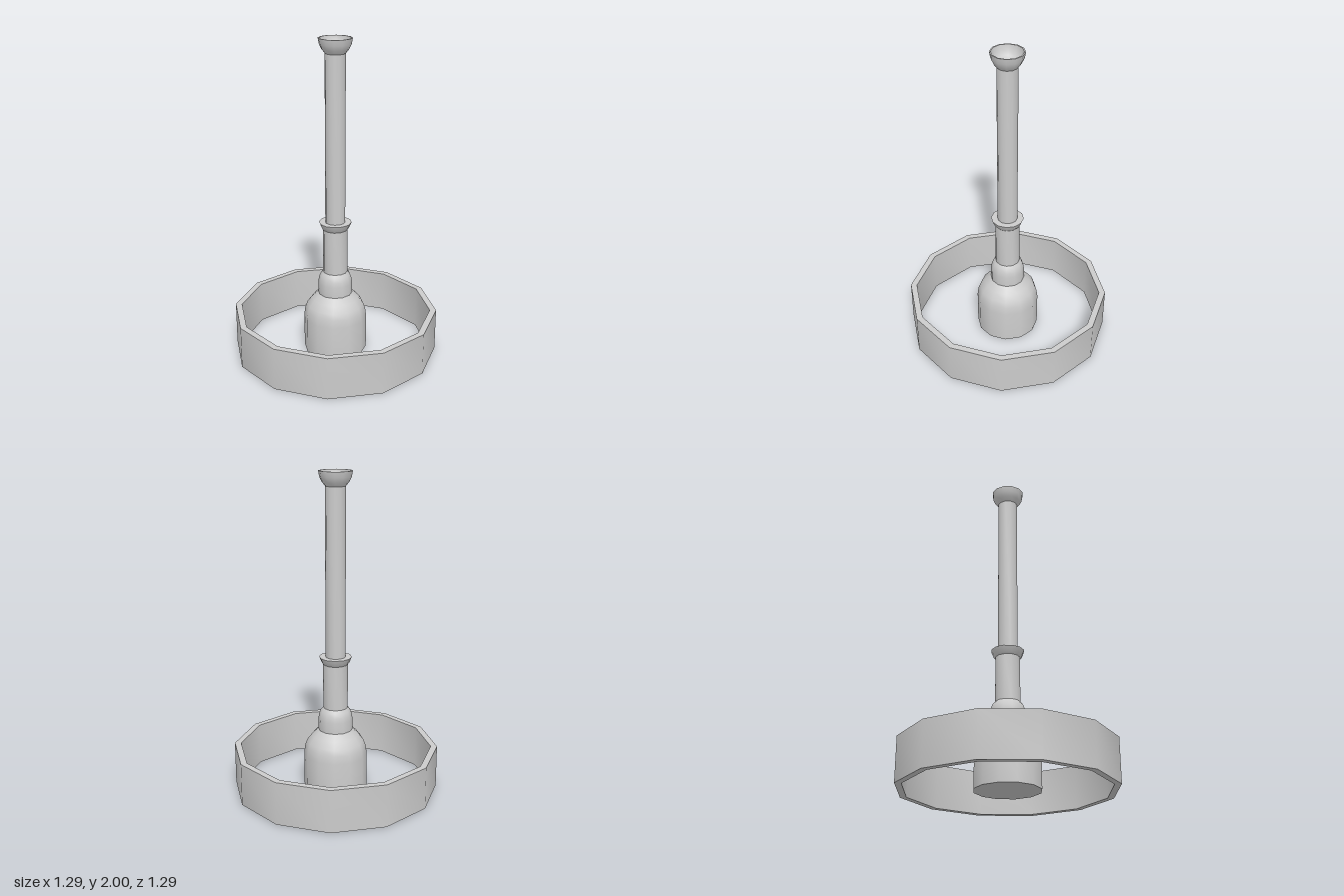
import * as THREE from 'three';
import { toCreasedNormals } from 'three/addons/utils/BufferGeometryUtils.js';

const SIDES = 12;
const material = new THREE.MeshStandardMaterial({ color: 0xcccccc });

// Turns a profile of [radius, height] pairs, listed with the outside going up
function turned(name, profile) {
  const points = profile.map(([r, y]) => new THREE.Vector2(r, y));
  const geometry = toCreasedNormals(new THREE.LatheGeometry(points, SIDES), 0.65);
  const mesh = new THREE.Mesh(geometry, material);
  mesh.name = name;
  return mesh;
}

export function createModel() {
  const model = new THREE.Group();
  model.name = 'pedestalWithRing';

  // Free-standing ring around the foot
  model.add(turned('outerRing', [
    [0.647, 0], [0.647, 0.27], [0.607, 0.27], [0.607, 0], [0.647, 0],
  ]));

  // Drum with a rounded shoulder
  model.add(turned('baseDrum', [
    [0, 0], [0.2, 0], [0.2, 0.22], [0.193, 0.27], [0.18, 0.307],
    [0.148, 0.348], [0.108, 0.385], [0, 0.385],
  ]));

  // Domed collar on the drum
  model.add(turned('collar', [
    [0.108, 0.385], [0.108, 0.455], [0.103, 0.485], [0.093, 0.512],
    [0.077, 0.53], [0, 0.53],
  ]));

  // Sleeve ending in a flared lip
  model.add(turned('sleeve', [
    [0.077, 0.53], [0.077, 0.815], [0.086, 0.825], [0.102, 0.862], [0.06, 0.862],
  ]));

  // Long slender tube
  model.add(turned('tube', [[0.062, 0.86], [0.062, 1.91]]));

  // Hollow cup at the top
  model.add(turned('topCup', [
    [0.06, 1.908], [0.082, 1.935], [0.096, 1.965], [0.102, 2], [0.094, 2],
    [0.088, 1.968], [0.072, 1.942], [0.045, 1.925], [0, 1.918],
  ]));

  return model;
}
